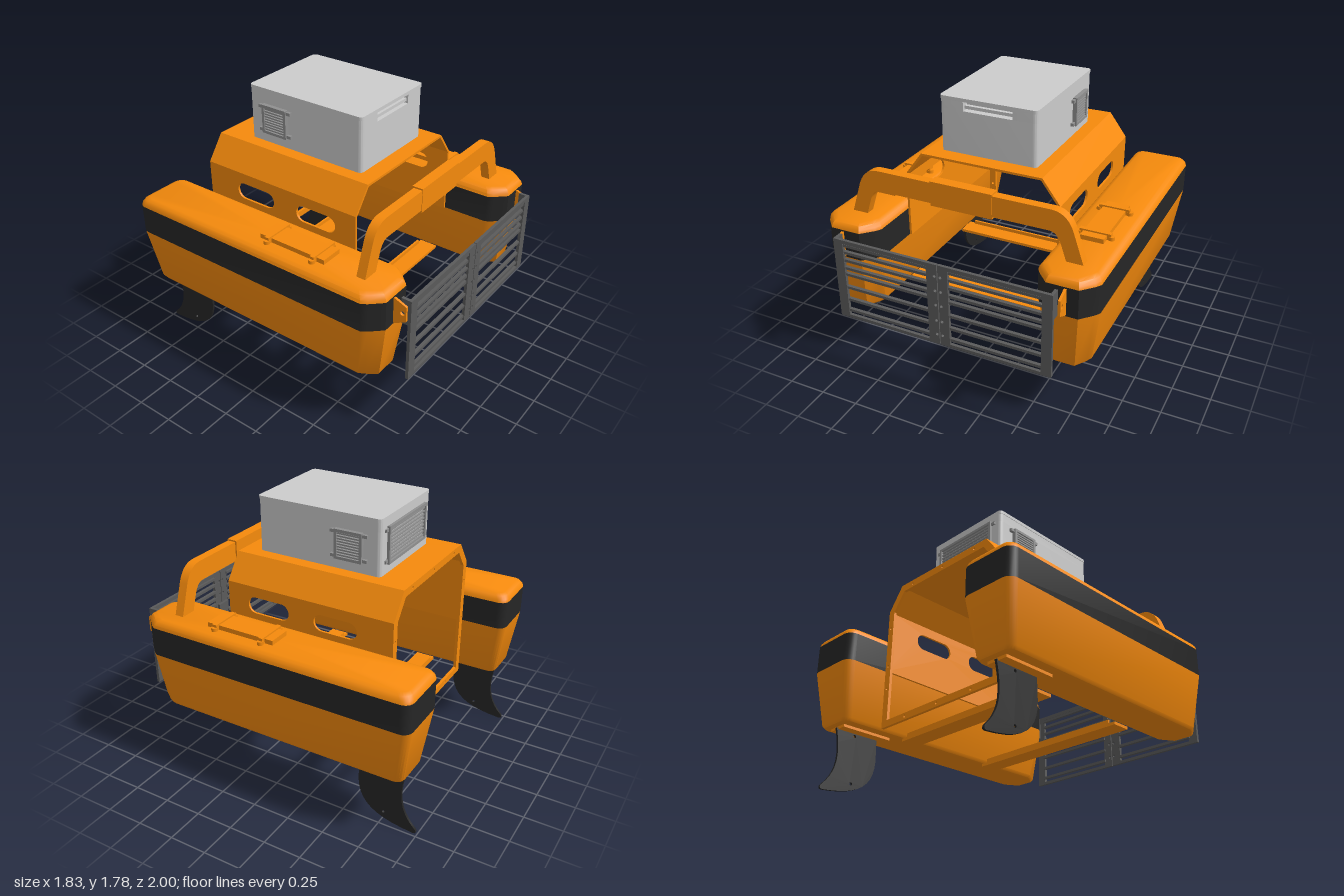
import * as THREE from 'three';
import { toCreasedNormals } from 'three/addons/utils/BufferGeometryUtils.js';

const mat = (color) => new THREE.MeshStandardMaterial({ color, side: THREE.DoubleSide });
const orange = mat(0xf58a0c), black = mat(0x262626), steel = mat(0x5a5a5a), grey = mat(0xcccccc), vent = mat(0x909090);

function add(parent, name, geo, material) {
  const m = new THREE.Mesh(geo, material);
  m.name = name;
  parent.add(m);
  return m;
}
// Box given by its min and max on each axis
function box(parent, name, material, x0, x1, y0, y1, z0, z1) {
  const m = add(parent, name, new THREE.BoxGeometry(x1 - x0, y1 - y0, z1 - z0), material);
  m.position.set((x0 + x1) / 2, (y0 + y1) / 2, (z0 + z1) / 2);
  return m;
}
const poly = (pts) => new THREE.Shape(pts.map(([x, y]) => new THREE.Vector2(x, y)));
const rect = (x0, x1, y0, y1) => poly([[x0, y0], [x1, y0], [x1, y1], [x0, y1]]);
const circle = (x, y, r) => new THREE.Path().absarc(x, y, r, 0, Math.PI * 2, true);
function slot(x0, x1, y0, y1) {
  const r = (y1 - y0) / 2, y = (y0 + y1) / 2;
  return new THREE.Path().absarc(x0 + r, y, r, Math.PI / 2, Math.PI * 1.5, false)
    .absarc(x1 - r, y, r, -Math.PI / 2, Math.PI / 2, false).closePath();
}
const extrude = (shape, depth) => toCreasedNormals(
  new THREE.ExtrudeGeometry(shape, { depth, bevelEnabled: false, curveSegments: 10 }), 0.6);
// Shape drawn in (z, y), with thickness along x, its outer face at x
const sideExtrude = (shape, depth, x) => extrude(shape, depth).rotateY(-Math.PI / 2).translate(x, 0, 0);

// Hull plan outline, counter-clockwise from above
const W = 0.1925, plan = [[-W, 0.78], [-0.17, 0.815], [-0.1, 0.89], [0.1, 0.89], [0.17, 0.815], [W, 0.78]];
for (const [sx, a0] of [[1, 0], [-1, Math.PI / 2]])
  for (let i = 0; i <= 5; i++) {
    const a = a0 + (i / 5) * Math.PI / 2;
    plan.push([sx * (W - 0.06) + 0.06 * Math.cos(a), -0.94 - 0.06 * Math.sin(a)]);
  }
// Loft the outline through [y, inset] levels
function loft(levels, capTop, capBottom) {
  const pos = [], idx = [], n = plan.length;
  for (const [y, inset] of levels)
    for (const [u, z] of plan) pos.push(u * (1 - inset / W), y, (z + 0.055) * (1 - inset / 0.945) - 0.055);
  for (let l = 0; l < levels.length - 1; l++)
    for (let i = 0; i < n; i++) {
      const a = l * n + i, b = l * n + (i + 1) % n;
      idx.push(a, b, b + n, a, b + n, a + n);
    }
  const cap = (l, flip) => {
    const c = pos.length / 3;
    pos.push(0, levels[l][0], -0.055);
    for (let i = 0; i < n; i++) {
      const a = l * n + i, b = l * n + (i + 1) % n;
      idx.push(c, flip ? b : a, flip ? a : b);
    }
  };
  if (capTop) cap(levels.length - 1, false);
  if (capBottom) cap(0, true);
  const g = new THREE.BufferGeometry();
  g.setAttribute('position', new THREE.Float32BufferAttribute(pos, 3));
  g.setIndex(idx);
  return toCreasedNormals(g, 0.6);
}

function buildSide(s) {
  const side = new THREE.Group();
  side.name = s > 0 ? 'leftSide' : 'rightSide';
  // Float in three bands
  const hull = new THREE.Group();
  hull.name = 'hull';
  hull.position.x = s * 0.7225;
  add(hull, 'lowerHull', loft([[0.43, 0.085], [0.436, 0.067], [0.455, 0.054], [0.82, 0]], false, true), orange);
  add(hull, 'bumperBand', loft([[0.82, 0], [1.01, 0]]), black);
  add(hull, 'deck', loft([[1.01, 0], [1.03, 0.005], [1.05, 0.02], [1.06, 0.045]], true, false), orange);
  side.add(hull);
  const X = s * 0.72;
  // Deck hatch with latch tabs
  box(side, 'hatch', orange, X - 0.075, X + 0.075, 1.05, 1.09, -0.04, 0.44);
  for (const z of [0.03, 0.37]) {
    box(side, 'hatchTab', orange, X - 0.1, X + 0.1, 1.05, 1.1, z - 0.015, z + 0.015);
    for (const e of [-0.1, 0.1])
      add(side, 'tabFoot', new THREE.CylinderGeometry(0.02, 0.02, 0.025, 16), orange).position.set(X + e, 1.07, z);
  }
  // Curved fin under the stern
  box(side, 'finMount', orange, X - 0.07, X + 0.07, 0.412, 0.435, -0.9, -0.54);
  const fin = new THREE.Shape().moveTo(-0.6, 0.42).lineTo(-0.595, 0.27)
    .bezierCurveTo(-0.6, 0.1, -0.7, 0.02, -0.97, 0.003).quadraticCurveTo(-1, 0.003, -0.985, 0.03)
    .bezierCurveTo(-0.87, 0.14, -0.87, 0.26, -0.91, 0.42);
  fin.holes.push(circle(-0.77, 0.395, 0.01), circle(-0.77, 0.08, 0.01));
  add(side, 'fin', sideExtrude(fin, 0.016, X + 0.008), black);
  // Hinge bracket for the front grille
  const hinge = poly([[0.86, 0.83], [0.9, 0.83], [0.975, 0.87], [0.975, 0.97], [0.9, 1], [0.86, 1]]);
  hinge.holes.push(circle(0.95, 0.92, 0.015));
  add(side, 'grilleHinge', sideExtrude(hinge, 0.016, s * 0.742 + 0.008), orange);
  // Canopy wall with two windows
  const wall = rect(-0.7, 0.47, 0.82, 1.26);
  wall.holes.push(slot(0.02, 0.32, 1.08, 1.19), slot(-0.46, -0.16, 1.08, 1.19));
  add(side, 'canopyWall', sideExtrude(wall, 0.015, s > 0 ? 0.53 : -0.515), orange);
  return side;
}

function buildCanopy() {
  const g = new THREE.Group();
  g.name = 'canopy';
  add(g, 'roof', extrude(poly([[-0.53, 1.26], [-0.41, 1.42], [0.41, 1.42], [0.53, 1.26], [0.515, 1.255],
    [0.402, 1.405], [-0.402, 1.405], [-0.515, 1.255]]), 1.17).translate(0, 0, -0.7), orange);
  // Flanged frame round the rear opening
  const frame = poly([[-0.53, 0.42], [0.53, 0.42], [0.53, 1.26], [0.41, 1.42], [-0.41, 1.42], [-0.53, 1.26]]);
  frame.holes.push(poly([[-0.48, 0.465], [-0.48, 1.245], [-0.385, 1.37], [0.385, 1.37], [0.48, 1.245], [0.48, 0.465]]));
  for (const x of [-0.505, 0.505])
    for (const y of [0.69, 0.85, 1.13]) frame.holes.push(circle(x, y, 0.009));
  for (const x of [-0.3, 0, 0.3]) frame.holes.push(circle(x, 1.395, 0.009), circle(x, 0.443, 0.009));
  add(g, 'rearFrame', extrude(frame, 0.02).translate(0, 0, -0.7), orange);
  // Cross beams between the floats
  for (const z of [0.315, -0.41]) {
    box(g, 'crossBeam', orange, -0.6, 0.6, 0.41, 0.43, z - 0.065, z + 0.065);
    box(g, 'beamRib', orange, -0.55, 0.55, 0.43, 0.455, z - 0.065, z - 0.05);
  }
  return g;
}

function buildArch() {
  const g = new THREE.Group();
  g.name = 'frontArch';
  const s = new THREE.Shape().moveTo(-0.78, 1.05).lineTo(-0.71, 1.26).quadraticCurveTo(-0.67, 1.37, -0.57, 1.37)
    .lineTo(0.57, 1.37).quadraticCurveTo(0.67, 1.37, 0.71, 1.26).lineTo(0.78, 1.05).lineTo(0.675, 1.05)
    .lineTo(0.635, 1.17).quadraticCurveTo(0.61, 1.235, 0.56, 1.235).lineTo(-0.56, 1.235)
    .quadraticCurveTo(-0.61, 1.235, -0.635, 1.17).lineTo(-0.675, 1.05);
  add(g, 'archBar', extrude(s, 0.06).translate(0, 0, 0.655), orange);
  box(g, 'archPlate', orange, -0.205, 0.205, 1.22, 1.38, 0.645, 0.718);
  return g;
}

// Two-leaf slatted grille
function buildGrille() {
  const g = new THREE.Group();
  g.name = 'frontGrille';
  for (const [x0, x1, i0, i1] of [[-0.735, -0.014, -0.67, -0.085], [-0.008, 0.715, 0.056, 0.65]]) {
    const leaf = rect(x0, x1, 0.45, 1.01);
    leaf.holes.push(rect(i0, i1, 0.47, 0.985));
    const inner = x0 < -0.5 ? -0.03 : 0.008;
    for (const y of [0.52, 0.62, 0.73, 0.83, 0.93]) leaf.holes.push(circle(inner, y, 0.01));
    add(g, 'grilleLeaf', extrude(leaf, 0.02).translate(0, 0, 0.978), steel);
    for (const y of [0.97, 0.92, 0.865, 0.81, 0.765, 0.67, 0.58, 0.5])
      box(g, 'slat', steel, i0 - 0.01, i1 + 0.01, y - 0.009, y + 0.009, 0.97, 0.992);
    const e = x0 < -0.5 ? x0 : x1 - 0.02;
    box(g, 'edgeFlange', steel, e, e + 0.02, 0.84, 1.01, 0.93, 0.985);
  }
  box(g, 'centreLatch', steel, -0.06, 0.04, 0.7, 0.76, 0.957, 0.979);
  return g;
}

function buildEquipmentBox() {
  const g = new THREE.Group();
  g.name = 'equipmentBox';
  // Stacked plan outlines; the middle layer holds the handle recess
  const layer = (y0, y1, notch, grow = 0) => {
    const a = 0.325 + grow, f = -0.36 - grow, b = 0.5, r = 0.03, s = new THREE.Shape();
    s.moveTo(-a, f + r).quadraticCurveTo(-a, f, -a + r, f);
    if (notch) s.lineTo(-0.165, f).lineTo(-0.165, f + 0.05).lineTo(0.165, f + 0.05).lineTo(0.165, f);
    s.lineTo(a - r, f).quadraticCurveTo(a, f, a, f + r).lineTo(a, b - r).quadraticCurveTo(a, b, a - r, b)
      .lineTo(-a + r, b).quadraticCurveTo(-a, b, -a, b - r);
    add(g, 'boxShell', extrude(s, y1 - y0).rotateX(-Math.PI / 2).translate(0, y0, 0), grey);
  };
  layer(1.42, 1.7, false);
  layer(1.7, 1.76, true);
  layer(1.76, 1.782, false, 0.003);
  box(g, 'handleBar', grey, -0.16, 0.16, 1.715, 1.735, 0.325, 0.35);
  // Louvred vent facing +z, w by h, placed by its group
  const louvre = (name, w, h, slats) => {
    const v = new THREE.Group();
    v.name = name;
    const f = rect(-w / 2, w / 2, -h / 2, h / 2);
    f.holes.push(rect(-w / 2 + 0.018, w / 2 - 0.018, -h / 2 + 0.018, h / 2 - 0.018));
    add(v, 'ventFrame', extrude(f, 0.028), vent);
    for (let i = 0; i < slats; i++) {
      const y = -h / 2 + 0.018 + (i + 0.5) * (h - 0.036) / slats;
      box(v, 'louvre', vent, -w / 2 + 0.015, w / 2 - 0.015, y - 0.005, y + 0.005, 0, 0.022);
    }
    for (const sx of [-1, 1]) for (const sy of [-1, 1])
      box(v, 'ventTab', vent, sx * (w / 2 + 0.012) - 0.018, sx * (w / 2 + 0.012) + 0.018,
        sy * h * 0.41 - 0.01, sy * h * 0.41 + 0.01, 0, 0.02);
    g.add(v);
    return v;
  };
  for (const s of [-1, 1]) {
    const v = louvre('sideVent', 0.19, 0.19, 9);
    v.position.set(s * 0.325, 1.585, -0.29);
    v.rotation.y = s * Math.PI / 2;
  }
  const rear = louvre('rearVent', 0.5, 0.24, 9);
  rear.position.set(0, 1.6, -0.475);
  rear.rotation.y = Math.PI;
  rear.position.z = -0.49;
  return g;
}

export function createModel() {
  const model = new THREE.Group();
  model.name = 'catamaranBoat';
  model.add(buildSide(1), buildSide(-1), buildCanopy(), buildArch(), buildGrille(), buildEquipmentBox());
  return model;
}
